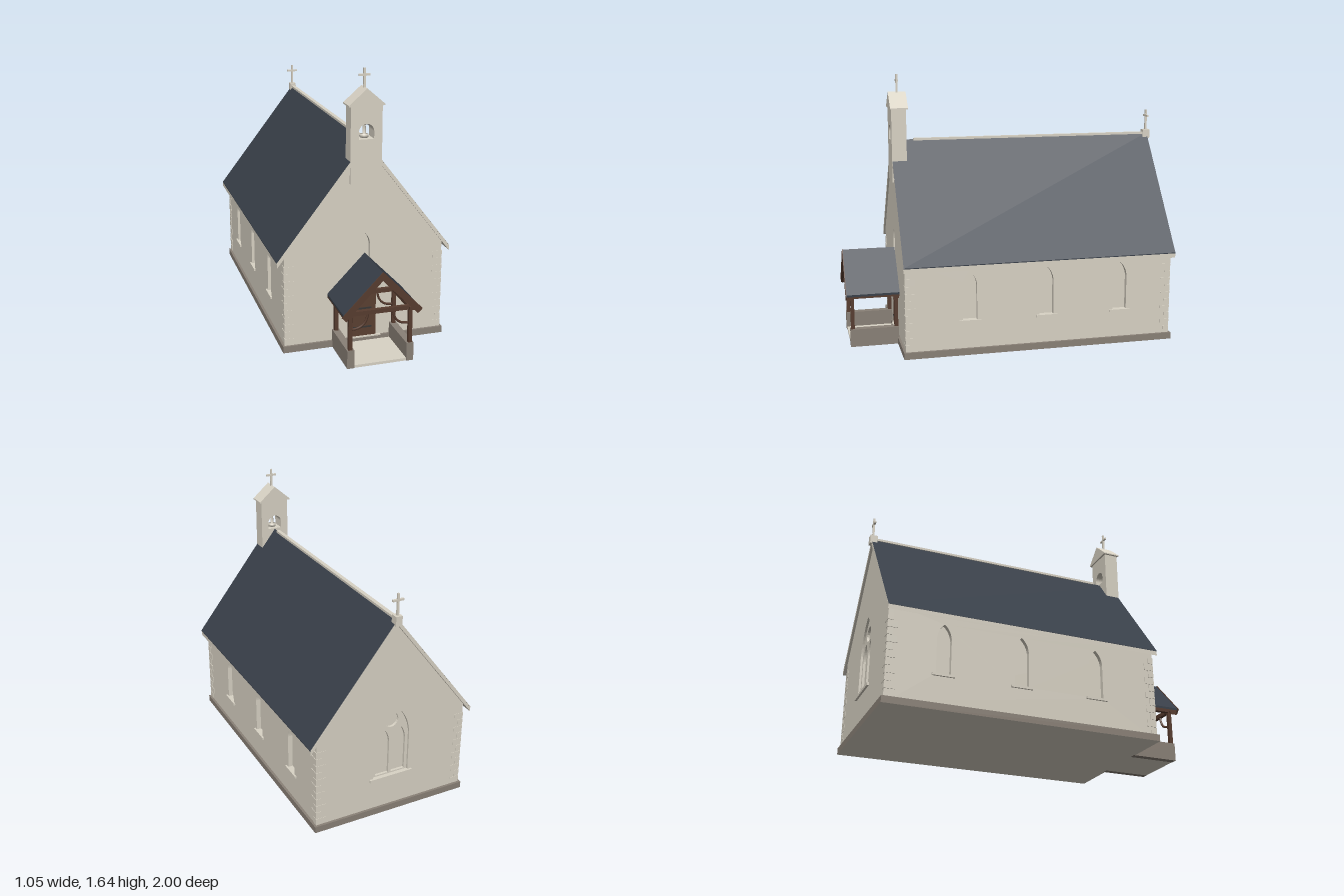
import * as THREE from 'three';

const mat = (name, color) => Object.assign(new THREE.MeshStandardMaterial({ color }), { name });

export function createModel() {
  const stone = mat('stone', 0xd9d3c5);
  const slate = mat('slate', 0x383f49);
  const plinthStone = mat('plinth stone', 0x8a8177);
  const wood = mat('dark wood', 0x573c2f);
  const doorWood = mat('door wood', 0x5b4032);
  const iron = mat('iron', 0x3a3836);
  const model = new THREE.Group();
  model.name = 'chapel';

  // --- helpers ---
  const add = (name, geo, material, parent = model) => {
    const m = new THREE.Mesh(geo, material);
    m.name = name;
    parent.add(m);
    return m;
  };
  // Box given by its limits on each axis
  const box = (name, material, x0, x1, y0, y1, z0, z1, parent = model) => {
    const m = add(name, new THREE.BoxGeometry(x1 - x0, y1 - y0, z1 - z0), material, parent);
    m.position.set((x0 + x1) / 2, (y0 + y1) / 2, (z0 + z1) / 2);
    return m;
  };
  const poly = (pts) => new THREE.Shape(pts.map(([x, y]) => new THREE.Vector2(x, y)));
  const extrude = (name, shape, material, z0, z1, parent = model) => {
    const g = new THREE.ExtrudeGeometry(shape, { depth: z1 - z0, bevelEnabled: false, curveSegments: 10 });
    g.translate(0, 0, z0);
    return add(name, g, material, parent);
  };
  // Pointed arch outline
  const lancet = (cx, w, y0, spring, top, Type = THREE.Path) => {
    const p = new Type();
    const k = spring + (top - spring) * 0.62;
    p.moveTo(cx - w, y0);
    p.lineTo(cx + w, y0);
    p.lineTo(cx + w, spring);
    p.quadraticCurveTo(cx + w * 0.88, k, cx, top);
    p.quadraticCurveTo(cx - w * 0.88, k, cx - w, spring);
    p.lineTo(cx - w, y0);
    return p;
  };
  // Inverted V band following a roof, mirrored about x = 0
  const chevron = (peak, x, y, t) => poly([[0, peak], [-x, y], [-x, y - t], [0, peak - t], [x, y - t], [x, y]]);
  const cross = (name, y0, y1, z) => {
    const g = new THREE.Group();
    g.name = name;
    model.add(g);
    box('crossUpright', stone, -0.006, 0.006, y0, y1, z - 0.006, z + 0.006, g);
    box('crossArms', stone, -0.034, 0.034, y1 - 0.045, y1 - 0.033, z - 0.006, z + 0.006, g);
  };

  // --- plinth (pale underside), core and walls ---
  const plinthFaces = [plinthStone, plinthStone, plinthStone, stone, plinthStone, plinthStone];
  box('plinth', plinthFaces, -0.495, 0.495, 0, 0.04, -0.985, 0.688);
  const gable = (x, y, peak) => poly([[-x, 0.02], [x, 0.02], [x, y], [0, peak], [-x, y]]);
  extrude('core', gable(0.452, 0.6, 1.18), stone, -0.942, 0.647);

  const wallGroup = (name, x, z, turn) => {
    const g = new THREE.Group();
    g.name = name;
    g.position.set(x, 0, z);
    g.rotation.y = turn;
    model.add(g);
    return g;
  };
  const T = 0.03;

  const front = wallGroup('frontWall', 0, 0.645, 0);
  const frontShape = gable(0.48, 0.588, 1.208);
  frontShape.holes.push(lancet(0, 0.033, 0.465, 0.615, 0.688));
  extrude('frontGable', frontShape, stone, 0, T, front);
  box('frontSill', stone, -0.055, 0.055, 0.455, 0.467, 0, T + 0.01, front);

  const back = wallGroup('backWall', 0, -0.94, Math.PI);
  const backShape = gable(0.48, 0.588, 1.208);
  backShape.holes.push(lancet(0, 0.115, 0.24, 0.5, 0.71));
  extrude('backGable', backShape, stone, 0, T, back);
  box('backSill', stone, -0.14, 0.14, 0.225, 0.242, 0, T + 0.012, back);
  // Tracery: two lights below a round opening
  const tracery = lancet(0, 0.118, 0.235, 0.5, 0.713, THREE.Shape);
  for (const s of [-1, 1]) tracery.holes.push(lancet(s * 0.053, 0.044, 0.25, 0.46, 0.555));
  const eye = new THREE.Path();
  eye.absarc(0, 0.6, 0.046, 0, Math.PI * 2, true);
  tracery.holes.push(eye);
  extrude('backTracery', tracery, stone, 0, 0.017, back);

  for (const s of [-1, 1]) {
    const side = wallGroup(s > 0 ? 'leftWall' : 'rightWall', s * 0.45, 0, s * Math.PI / 2);
    const a = -s * 0.646, b = s * 0.941;
    const shape = poly([[Math.min(a, b), 0.02], [Math.max(a, b), 0.02], [Math.max(a, b), 0.585], [Math.min(a, b), 0.585]]);
    for (const z of [0.29, -0.18, -0.645]) {
      shape.holes.push(lancet(-s * z, 0.043, 0.213, 0.425, 0.512));
      box('sideSill', stone, -s * z - 0.066, -s * z + 0.066, 0.2, 0.214, 0, T + 0.011, side);
    }
    extrude('sideWall', shape, stone, 0, T, side);
  }

  // Corner stones, long and short in turn
  const N = 11;
  for (const sx of [-1, 1]) for (const sz of [-1, 1]) for (let i = 0; i < N; i++) {
    const lx = i % 2 ? 0.035 : 0.06, lz = i % 2 ? 0.06 : 0.035, h = 0.49 / N;
    const cz = sz > 0 ? 0.677 : -0.972;
    const q = add('cornerStone', new THREE.BoxGeometry(lx, h - 0.004, lz), stone);
    q.position.set(sx * (0.484 - lx / 2), 0.04 + h * (i + 0.5), cz - sz * lz / 2);
  }

  // --- main roof: slates on top, stone at the gable ends ---
  extrude('roofSlab', chevron(1.235, 0.524, 0.558, 0.028), stone, -0.985, 0.686);
  extrude('roofSlates', chevron(1.24, 0.525, 0.562, 0.005), [stone, slate], -0.985, 0.686);
  box('ridgeCap', stone, -0.012, 0.012, 1.233, 1.247, -0.97, 0.545);
  box('rearCrossBase', stone, -0.02, 0.02, 1.205, 1.262, -0.998, -0.952);
  cross('rearCross', 1.26, 1.39, -0.977);

  // --- bell tower ---
  const tower = poly([[-0.093, 0.99], [0.093, 0.99], [0.093, 1.44], [-0.093, 1.44]]);
  const opening = new THREE.Path();
  opening.moveTo(-0.045, 1.245);
  opening.lineTo(0.045, 1.245);
  opening.lineTo(0.045, 1.288);
  opening.absarc(0, 1.288, 0.045, 0, Math.PI, false);
  opening.lineTo(-0.045, 1.245);
  tower.holes.push(opening);
  extrude('bellTower', tower, stone, 0.598, 0.688);
  extrude('bellTowerRoof', poly([[-0.106, 1.434], [0.106, 1.434], [0.106, 1.442], [0, 1.534], [-0.106, 1.442]]), stone, 0.587, 0.695);
  cross('frontCross', 1.52, 1.64, 0.641);
  const bell = [[0, 1.248], [0.025, 1.248], [0.025, 1.266], [0.01, 1.268], [0.009, 1.32], [0.02, 1.322], [0.02, 1.33], [0, 1.33]];
  add('bell', new THREE.LatheGeometry(bell.map(([x, y]) => new THREE.Vector2(x, y)), 16), stone).position.z = 0.643;
  box('bellYoke', iron, -0.034, 0.034, 1.32, 1.328, 0.637, 0.649);

  // --- door ---
  extrude('door', lancet(0, 0.071, 0.04, 0.31, 0.405, THREE.Shape), doorWood, 0.67, 0.681);
  for (const y of [0.1, 0.22]) box('doorHinge', iron, -0.068, 0.045, y - 0.005, y + 0.005, 0.68, 0.684);
  const knob = add('doorKnob', new THREE.SphereGeometry(0.006, 10, 8), iron);
  knob.position.set(0.053, 0.195, 0.684);
  box('doorStep', stone, -0.1, 0.1, 0.036, 0.044, 0.67, 0.69);

  // --- porch ---
  const porch = new THREE.Group();
  porch.name = 'porch';
  model.add(porch);
  box('porchFloor', stone, -0.16, 0.16, 0, 0.016, 0.68, 0.972, porch);
  extrude('porchRoofBoards', chevron(0.553, 0.223, 0.325, 0.014), wood, 0.675, 0.985, porch);
  extrude('porchRoofSlates', chevron(0.566, 0.225, 0.336, 0.013), slate, 0.675, 0.996, porch);
  const rafters = poly([[0, 0.571], [-0.238, 0.327], [-0.212, 0.301], [0, 0.522], [0.212, 0.301], [0.238, 0.327]]);
  extrude('frontRafters', rafters, wood, 0.995, 1.0, porch);
  for (const [z0, z1] of [[0.678, 0.703], [0.955, 0.995]]) {
    extrude('innerRafters', chevron(0.545, 0.212, 0.325, 0.028), wood, z0, z1, porch);
  }
  for (const z of [0.694, 0.96]) {
    box('tieBeam', wood, -0.19, 0.19, 0.315, 0.34, z - 0.011, z + 0.011, porch);
    for (const s of [-1, 1]) {
      box('porchPost', wood, s * 0.178 - 0.011, s * 0.178 + 0.011, 0.1, 0.33, z - 0.011, z + 0.011, porch);
      const curve = new THREE.QuadraticBezierCurve3(
        new THREE.Vector3(s * 0.17, 0.232, z), new THREE.Vector3(s * 0.085, 0.228, z), new THREE.Vector3(s * 0.074, 0.32, z));
      add('curvedBrace', new THREE.TubeGeometry(curve, 10, 0.007, 6), wood, porch);
    }
  }
  for (const s of [-1, 1]) {
    box('porchLowWall', plinthStone, s * 0.177 - 0.021, s * 0.177 + 0.021, 0, 0.11, 0.68, 0.975, porch);
    box('wallPlate', wood, s * 0.18 - 0.013, s * 0.18 + 0.013, 0.315, 0.335, 0.678, 0.985, porch);
  }
  return model;
}
